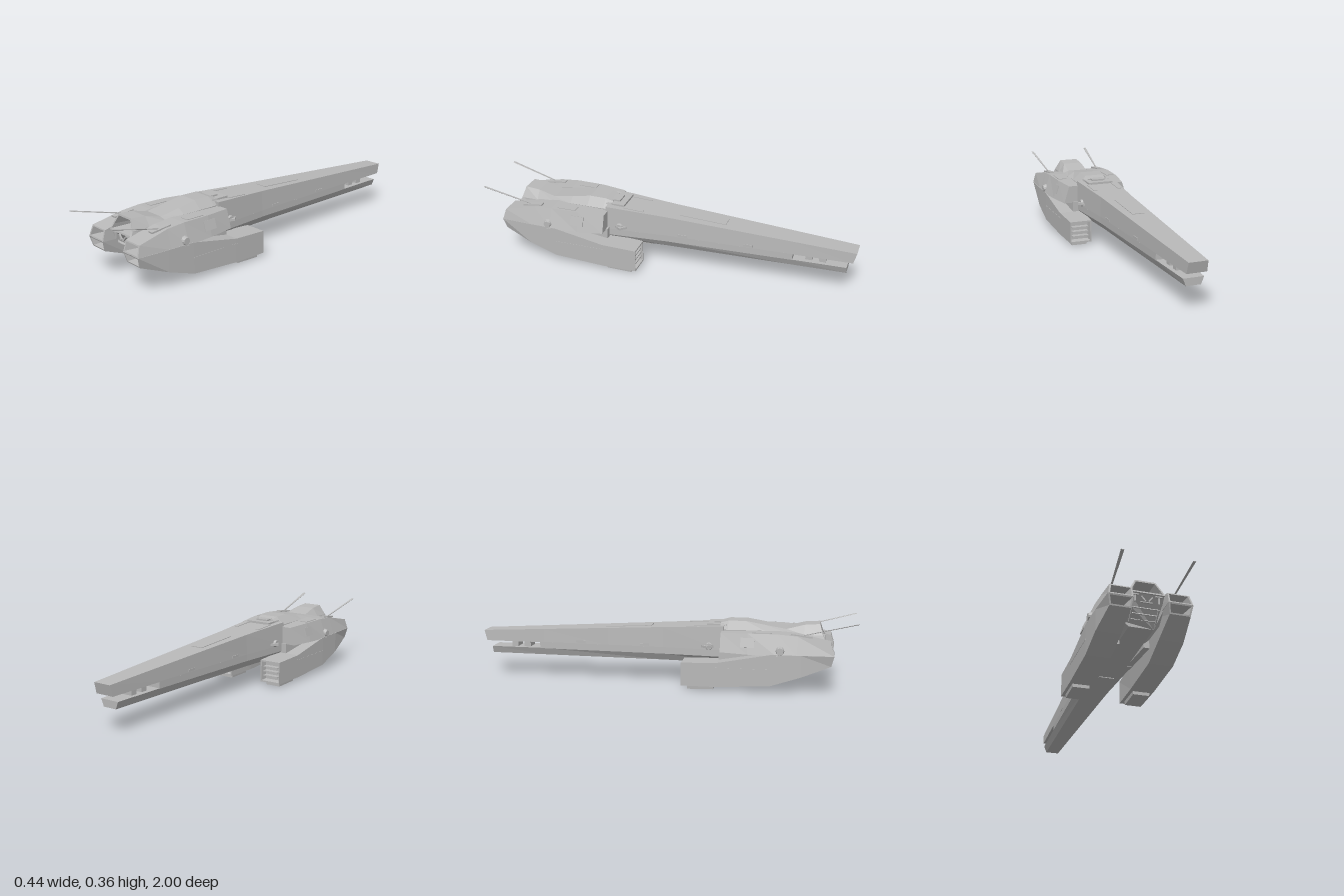
import * as THREE from 'three';

const hullGrey = new THREE.MeshStandardMaterial({ color: 0xb8b8b8 });
hullGrey.name = 'hull grey';
hullGrey.flatShading = true;

// Skin a list of cross-sections (back to front, each counter-clockwise seen from the front)
function loft(name, sections, side = 1) {
  const secs = sections.map((s) => {
    const pts = s.map(([x, y, z]) => [x * side, y, z]);
    return side < 0 ? pts.reverse() : pts;
  });
  const pos = [];
  const tri = (a, b, c) => pos.push(...a, ...b, ...c);
  const n = secs[0].length;
  for (let i = 0; i < secs.length - 1; i++) {
    for (let j = 0; j < n; j++) {
      const k = (j + 1) % n, a = secs[i], b = secs[i + 1];
      tri(a[j], a[k], b[k]);
      tri(a[j], b[k], b[j]);
    }
  }
  const first = secs[0], last = secs[secs.length - 1];
  for (let j = 1; j < n - 1; j++) {
    tri(first[0], first[j + 1], first[j]);
    tri(last[0], last[j], last[j + 1]);
  }
  const g = new THREE.BufferGeometry();
  g.setAttribute('position', new THREE.Float32BufferAttribute(pos, 3));
  g.computeVertexNormals();
  const m = new THREE.Mesh(g, hullGrey);
  m.name = name;
  return m;
}

// Four-cornered section: inner/outer x at the bottom and top
const quad = (z, xi, xo, yb, yt, xit = xi, xot = xo, zt = z) =>
  [[xi, yb, z], [xo, yb, z], [xot, yt, zt], [xit, yt, zt]];

// Symmetric section from the right-hand points listed bottom to top
const sym = (pts) => [...pts, ...pts.map(([x, y, z]) => [-x, y, z]).reverse()];

function box(name, w, h, d, x, y, z, rx = 0, rz = 0) {
  const m = new THREE.Mesh(new THREE.BoxGeometry(w, h, d), hullGrey);
  m.name = name;
  m.position.set(x, y, z);
  m.rotation.set(rx, 0, rz);
  return m;
}

const boomTop = (z) => 0.31 - (0.25 - z) * 0.0544;
const boomHalf = (z) => (z > 0 ? 0.087 + z * 0.08 : 0.087 + z * 0.037);

function boom() {
  const g = new THREE.Group();
  g.name = 'boom';
  const upper = (z, yb = 0.188, zb = z) => sym([[boomHalf(z), yb, zb], [boomHalf(z) * 0.95, boomTop(z), z]]);
  const lower = (z, yt) => sym([[boomHalf(z) * 0.72, 0.118, z], [boomHalf(z), yt, z]]);
  g.add(loft('upperBoom', [upper(-1, 0.186, -0.985), upper(-0.66), upper(-0.3), upper(0), upper(0.32)]));
  g.add(loft('lowerBoom', [lower(-0.955, 0.155), lower(-0.66, 0.157), lower(0, 0.157), lower(0.35, 0.157)]));
  // Solid web that closes the slot ahead of the split tail
  const web = (z) => sym([[boomHalf(z), 0.155, z], [boomHalf(z), 0.19, z]]);
  g.add(loft('boomWeb', [web(-0.68), web(0), web(0.32)]));
  for (const z of [-0.83, -0.76]) g.add(box('tailSpacer', 0.07, 0.04, 0.035, 0, 0.172, z));
  // Raised hatch along the top and small plates near the root
  const tilt = -Math.atan(0.0544);
  g.add(box('topHatch', 0.066, 0.006, 0.25, 0, boomTop(-0.195), -0.195, tilt));
  for (const s of [1, -1]) {
    g.add(box('rootPlate', 0.022, 0.006, 0.11, s * 0.07, boomTop(0.175), 0.175, tilt));
    for (const z of [-0.1, -0.45]) g.add(box('sidePlate', 0.004, 0.012, 0.05, s * boomHalf(z), 0.2, z));
  }
  g.add(box('bellyPlate', 0.08, 0.006, 0.2, 0, 0.117, 0.1));
  return g;
}

function centreHull() {
  const g = new THREE.Group();
  g.name = 'centreHull';
  // Humped upper deck ending in a deep intake
  const deck = (z, top, sx, sy, tx, zt = z) =>
    sym([[0.088, 0.25, z], [sx, sy, (z + zt) / 2], [tx, top, zt]]);
  g.add(loft('upperDeck', [
    deck(0.3, 0.325, 0.09, 0.295, 0.05), deck(0.34, 0.336, 0.095, 0.295, 0.052),
    deck(0.43, 0.337, 0.095, 0.296, 0.052), deck(0.53, 0.32, 0.095, 0.296, 0.055),
    deck(0.64, 0.302, 0.09, 0.29, 0.055), deck(0.73, 0.326, 0.085, 0.28, 0.052),
    deck(0.84, 0.332, 0.08, 0.278, 0.05, 0.81),
    sym([[0.076, 0.258, 0.838], [0.068, 0.28, 0.826], [0.046, 0.323, 0.812]]),
    sym([[0.054, 0.264, 0.72], [0.05, 0.28, 0.72], [0.036, 0.308, 0.72]]),
  ]));
  // Lower hull, raked back beneath the nose
  const low = (z, zb = z, yb = 0.118) =>
    sym([[0.06, yb, zb], [0.09, 0.145, zb], [0.09, 0.2, z], [0.09, 0.255, z + (z > 0.7 ? 0.02 : 0)]]);
  g.add(loft('lowerHull', [low(0.25), low(0.5), low(0.815, 0.74, 0.122)]));
  // Nose relief: frame, bars and a slanted grille
  for (const s of [1, -1]) {
    g.add(box('noseBracket', 0.006, 0.035, 0.008, s * 0.058, 0.225, 0.827));
    g.add(box('noseBar', 0.034, 0.006, 0.008, s * 0.057, 0.243, 0.831));
    g.add(box('noseStrut', 0.007, 0.032, 0.008, s * 0.017, 0.226, 0.827, 0, s * -0.7));
    g.add(box('grilleSide', 0.006, 0.075, 0.008, s * 0.064, 0.165, 0.782, 0.85));
  }
  g.add(box('noseSill', 0.06, 0.005, 0.008, 0, 0.211, 0.822));
  for (let i = 0; i < 3; i++) {
    g.add(box('grilleBar', 0.12, 0.005, 0.01, 0, 0.15 + i * 0.018, 0.762 + i * 0.024, 0.85));
  }
  // Collar joining hull and boom
  g.add(box('collar', 0.14, 0.08, 0.09, 0, 0.28, 0.275));
  g.add(box('collarCap', 0.07, 0.012, 0.05, 0, 0.322, 0.29));
  for (const s of [1, -1]) g.add(box('collarClamp', 0.018, 0.05, 0.03, s * 0.07, 0.295, 0.315, 0, s * 0.3));
  return g;
}

function sideParts(s) {
  const g = new THREE.Group();
  g.name = s > 0 ? 'leftSide' : 'rightSide';
  // Shoulder with a framed upper intake
  g.add(loft('shoulder', [
    quad(0.31, 0.08, 0.187, 0.195, 0.29, 0.08, 0.158),
    quad(0.45, 0.08, 0.207, 0.192, 0.295, 0.08, 0.178),
    quad(0.6, 0.08, 0.218, 0.19, 0.296, 0.08, 0.182),
    quad(0.7, 0.08, 0.213, 0.192, 0.288, 0.08, 0.182),
    quad(0.885, 0.083, 0.203, 0.195, 0.252, 0.085, 0.192, 0.868),
    quad(0.883, 0.092, 0.194, 0.202, 0.246, 0.092, 0.184, 0.87),
    quad(0.8, 0.112, 0.178, 0.205, 0.236, 0.112, 0.17),
  ], s));
  // Lower pod, open at the rear, with a second intake in front
  g.add(loft('lowerPod', [
    quad(0.15, 0.108, 0.208, 0.032, 0.128),
    quad(0.115, 0.104, 0.212, 0.028, 0.132),
    quad(0.115, 0.097, 0.217, 0.02, 0.14),
    quad(0.3, 0.095, 0.218, 0.02, 0.146, 0.088),
    quad(0.57, 0.095, 0.218, 0.036, 0.197, 0.085),
    quad(0.72, 0.092, 0.214, 0.085, 0.197, 0.085),
    quad(0.87, 0.092, 0.193, 0.142, 0.196, 0.083, 0.204, 0.885),
    quad(0.872, 0.097, 0.186, 0.149, 0.189, 0.091, 0.194, 0.882),
    quad(0.8, 0.112, 0.175, 0.157, 0.182),
  ], s));
  for (let i = 0; i < 3; i++) g.add(box('exhaustVane', 0.09, 0.006, 0.03, s * 0.158, 0.055 + i * 0.025, 0.135));
  g.add(loft('landingPad', [
    quad(0.145, 0.115, 0.2, 0, 0.024, 0.113, 0.202),
    quad(0.28, 0.115, 0.2, 0.003, 0.024, 0.113, 0.202),
  ], s));
  // Pylon tying the pod to the hull
  g.add(loft('podPylon', [
    quad(0.3, 0.06, 0.14, 0.125, 0.2), quad(0.6, 0.06, 0.16, 0.1, 0.2),
  ], s));
  // Forward aerial blade
  g.add(loft('aerial', [
    quad(0.7, 0.147, 0.152, 0.278, 0.283),
    quad(0.999, 0.163, 0.176, 0.355, 0.358, 0.166, 0.179),
  ], s));
  g.add(box('aerialMount', 0.03, 0.008, 0.11, s * 0.15, 0.287, 0.72, 0.12));
  g.add(box('deckPlate', 0.045, 0.005, 0.1, s * 0.145, 0.296, 0.52));
  // Round side vent and the root pivot with its fin
  for (const [x, y, z, r] of [[0.21, 0.215, 0.615, 0.025], [0.105, 0.207, 0.245, 0.024]]) {
    const vent = new THREE.Mesh(new THREE.CylinderGeometry(r * 0.7, r, 0.022, 12), hullGrey);
    vent.name = 'sideVent';
    vent.rotation.z = -s * Math.PI / 2;
    vent.position.set(s * x, y, z);
    g.add(vent);
  }
  g.add(loft('rootFin', [
    quad(0.2, 0.08, 0.1, 0.2, 0.212), quad(0.235, 0.08, 0.132, 0.2, 0.212), quad(0.28, 0.08, 0.1, 0.2, 0.212),
  ], s));
  // Sloped cheek plates and pod trim
  g.add(box('cheekPlate', 0.005, 0.05, 0.07, s * 0.193, 0.25, 0.45, 0, s * 0.3));
  g.add(box('podTrim', 0.004, 0.006, 0.28, s * 0.2175, 0.118, 0.43));
  return g;
}

export function createModel() {
  const model = new THREE.Group();
  model.name = 'spacecraft';
  model.add(boom(), centreHull(), sideParts(1), sideParts(-1));
  return model;
}
